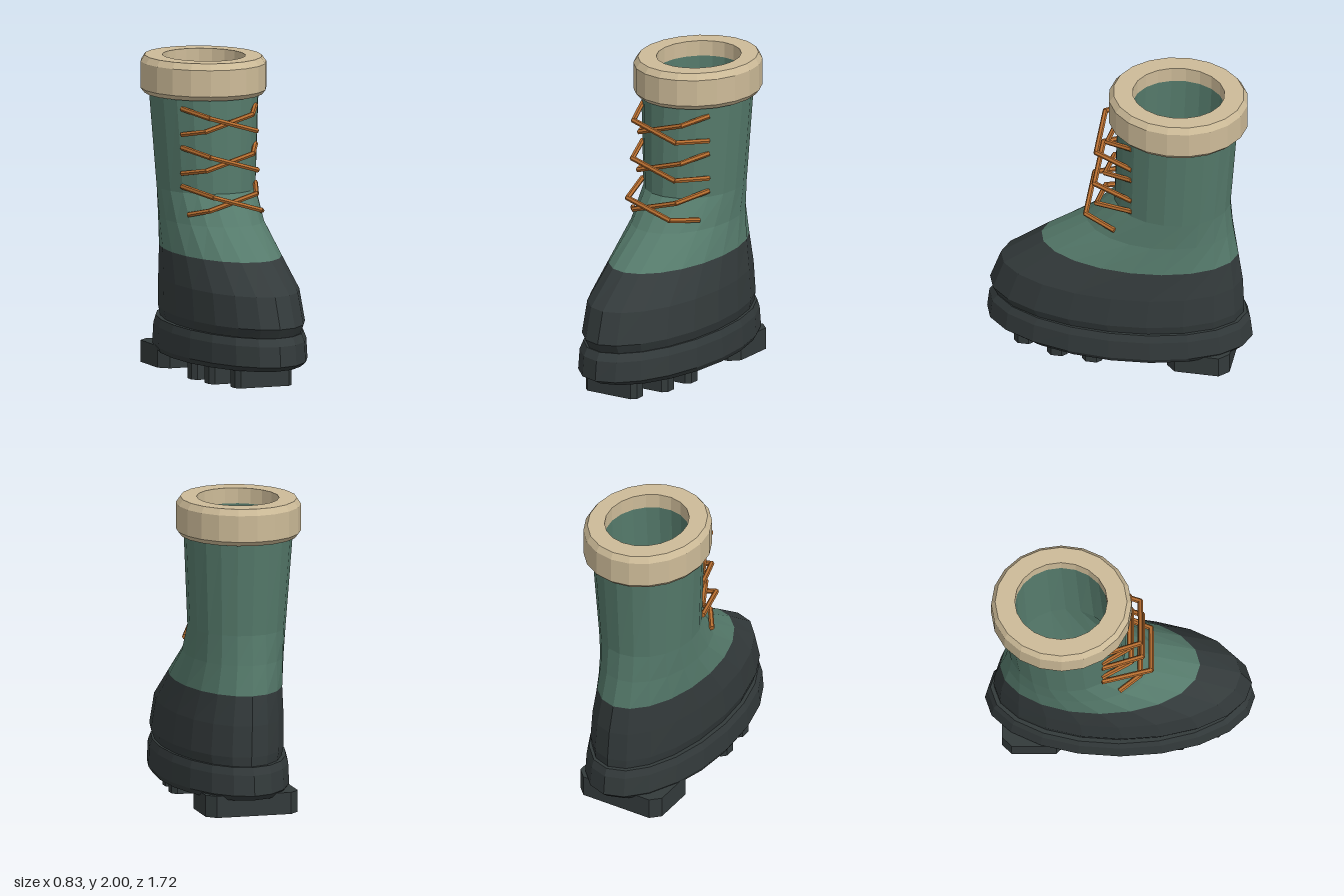
import * as THREE from 'three';

const material = (name, color) => {
  const m = new THREE.MeshStandardMaterial({ color, flatShading: true });
  m.name = name;
  return m;
};

// Oval rings [y, centreX, radiusX, frontZ, backZ] joined in order.
// Rising rings face outward, falling rings face inward.
function loft(rings, sides = 20) {
  const point = ([y, cx, rx, front, back], i) => {
    const a = (i % sides) / sides * Math.PI * 2;
    return [cx + rx * Math.sin(a), y, (front + back) / 2 + (front - back) / 2 * Math.cos(a)];
  };
  const pos = [];
  for (let r = 0; r < rings.length - 1; r++) {
    const lo = rings[r], hi = rings[r + 1];
    for (let i = 0; i < sides; i++) {
      const a = point(lo, i), b = point(lo, i + 1), c = point(hi, i + 1), d = point(hi, i);
      if (lo[2] > 0) pos.push(...a, ...b, ...c);
      if (hi[2] > 0) pos.push(...a, ...c, ...d);
      if (lo[2] === 0) pos.push(...a, ...c, ...d).valueOf;
    }
  }
  const geo = new THREE.BufferGeometry();
  geo.setAttribute('position', new THREE.Float32BufferAttribute(pos, 3));
  geo.computeVertexNormals();
  return geo;
}

// Upright block with chamfered corners, standing on y = 0
function lug(halfWidth, front, back, chamfer, height) {
  const w = halfWidth, c = chamfer;
  const s = new THREE.Shape();
  s.moveTo(-w + c, -front);
  s.lineTo(w - c, -front);
  s.lineTo(w, -front + c);
  s.lineTo(w, -back - c);
  s.lineTo(w - c, -back);
  s.lineTo(-w + c, -back);
  s.lineTo(-w, -back - c);
  s.lineTo(-w, -front + c);
  s.closePath();
  const geo = new THREE.ExtrudeGeometry(s, { depth: height, bevelEnabled: false });
  return geo.rotateX(-Math.PI / 2);
}

export function createModel() {
  const boot = new THREE.Group();
  boot.name = 'boot';
  const rubber = material('dark rubber', 0x333a3b);
  const leather = material('green leather', 0x557a6b);
  const cuff = material('tan cuff', 0xcdbb98);
  const cord = material('orange cord', 0xb76e30);

  const add = (name, geo, mat, parent = boot) => {
    const mesh = new THREE.Mesh(geo, mat);
    mesh.name = name;
    parent.add(mesh);
    return mesh;
  };

  // Sole with a rounded rim
  add('sole', loft([
    [0.115, 0.005, 0, 0, 0],
    [0.115, 0.005, 0.385, 0.79, -0.82],
    [0.15, 0.005, 0.405, 0.86, -0.86],
    [0.28, 0.005, 0.4, 0.845, -0.845],
    [0.33, 0.005, 0.385, 0.81, -0.825],
    [0.33, 0.005, 0, 0, 0],
  ]), rubber);

  // Tread lugs and heel block: half width, front z, back z, chamfer, height
  [
    ['toeLug', 0.195, 0.66, 0.53, 0.03, 0.13],
    ['middleLug', 0.28, 0.43, 0.3, 0.03, 0.13],
    ['rearLug', 0.305, 0.2, 0.07, 0.03, 0.13],
    ['heel', 0.305, -0.345, -0.75, 0.06, 0.14],
  ].forEach(([name, ...size]) => {
    add(name, lug(...size), rubber).position.x = -0.022;
  });

  // Rubber foot and leather shaft share the ring at y = 0.78
  const seam = [0.78, -0.008, 0.333, 0.51, -0.765];
  add('foot', loft([
    [0.32, 0.01, 0.36, 0.8, -0.8],
    [0.39, 0.01, 0.38, 0.84, -0.805],
    [0.59, 0.003, 0.368, 0.77, -0.795],
    seam,
  ]), rubber);
  add('shaft', loft([
    seam,
    [0.97, -0.02, 0.31, 0.22, -0.73],
    [1.16, -0.022, 0.307, 0.04, -0.71],
    [1.78, -0.025, 0.345, 0.02, -0.755],
  ]), leather);

  // Padded collar: outside, top and the upper part of the opening
  add('collar', loft([
    [1.78, -0.025, 0.33, 0, -0.74],
    [1.76, -0.025, 0.372, 0.045, -0.79],
    [1.79, -0.025, 0.395, 0.075, -0.82],
    [1.96, -0.025, 0.395, 0.075, -0.82],
    [2, -0.025, 0.368, 0.045, -0.795],
    [2, -0.02, 0.26, -0.08, -0.67],
    [1.9, -0.02, 0.26, -0.08, -0.67],
  ]), cuff);

  // Inner lining down to the insole
  add('lining', loft([
    [1.9, -0.02, 0.26, -0.08, -0.67],
    [1.16, -0.02, 0.25, -0.04, -0.65],
    [0.45, -0.005, 0.21, 0.4, -0.6],
    [0.45, -0.005, 0, 0, 0],
  ]), leather);

  // Crossed laces: upper y, front z, z of the lower ends
  const up = new THREE.Vector3(0, 1, 0);
  [[1.7, 0.13, -0.11], [1.45, 0.142, -0.11], [1.2, 0.198, 0]].forEach(([y, z, lowZ], row) => {
    [1, -1].forEach((side) => {
      const lace = new THREE.Group();
      lace.name = `lace${row + 1}${side > 0 ? 'Outer' : 'Inner'}`;
      const bendZ = side > 0 ? z : z - 0.07;
      const pts = [
        [-0.25, y, -0.11], [-0.16, y - 0.035, bendZ],
        [0.16, y - 0.13, bendZ], [0.25, y - 0.165, lowZ],
      ].map(([px, py, pz]) => new THREE.Vector3(px * side - 0.025, py, pz));
      for (let i = 0; i < 3; i++) {
        const dir = pts[i + 1].clone().sub(pts[i]);
        const geo = new THREE.CylinderGeometry(0.017, 0.017, dir.length() + 0.012, 6);
        const seg = add('laceSegment', geo, cord, lace);
        seg.position.copy(pts[i]).addScaledVector(dir, 0.5);
        seg.quaternion.setFromUnitVectors(up, dir.normalize());
      }
      boot.add(lace);
    });
  });

  return boot;
}
